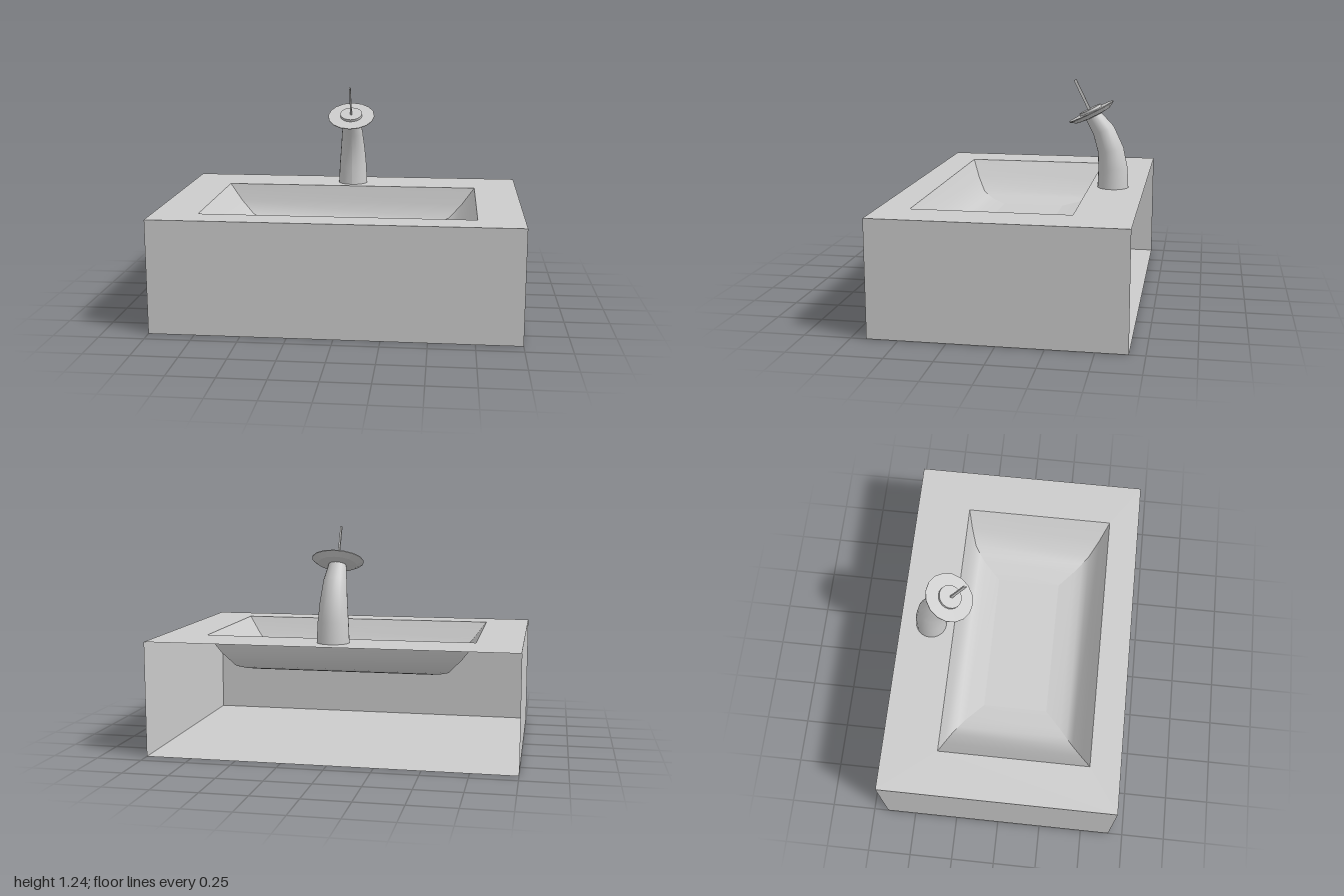
import * as THREE from 'three';

const H = 0.63, D = 0.667; // counter height and half depth
const mat = new THREE.MeshStandardMaterial({ color: 0xcccccc, side: THREE.DoubleSide });

function add(parent, name, geometry) {
  const m = new THREE.Mesh(geometry, mat);
  m.name = name;
  parent.add(m);
  return m;
}

// Skin rows of equally many points into a smooth surface
function loft(rows) {
  const n = rows[0].length, index = [];
  for (let i = 0; i < rows.length - 1; i++) {
    for (let j = 0; j < n - 1; j++) {
      const a = i * n + j, b = a + n;
      index.push(a, b, a + 1, b, b + 1, a + 1);
    }
  }
  const g = new THREE.BufferGeometry();
  g.setAttribute('position', new THREE.Float32BufferAttribute(rows.flat(2), 3));
  g.setIndex(index);
  g.computeVertexNormals();
  return g;
}

function rectangle(path, x, z0, z1) {
  path.moveTo(-x, -z1);
  path.lineTo(x, -z1);
  path.lineTo(x, -z0);
  path.lineTo(-x, -z0);
  path.closePath();
  return path;
}

// Box without a back, its top cut out for the basin
function makeCabinet() {
  const g = new THREE.Group();
  g.name = 'cabinet';
  const top = rectangle(new THREE.Shape(), 1, -D, D);
  top.holes.push(rectangle(new THREE.Path(), 0.75, -0.355, 0.495));
  add(g, 'countertop', new THREE.ShapeGeometry(top).rotateX(-Math.PI / 2).translate(0, H, 0));
  add(g, 'bottomPanel', new THREE.PlaneGeometry(2, 2 * D).rotateX(Math.PI / 2));
  add(g, 'frontPanel', new THREE.PlaneGeometry(2, H).translate(0, H / 2, D));
  for (const s of [-1, 1]) {
    add(g, s > 0 ? 'leftPanel' : 'rightPanel',
      new THREE.PlaneGeometry(2 * D, H).rotateY(s * Math.PI / 2).translate(s, H / 2, 0));
  }
  return g;
}

// Four curved walls, meeting in mitred corners, down to a flat floor
function makeBasin() {
  const g = new THREE.Group();
  g.name = 'basin';
  // half width, back z, front z, depth
  const levels = [
    [0.75, -0.355, 0.495, 0], [0.675, -0.333, 0.447, 0.1], [0.6, -0.305, 0.395, 0.178],
    [0.55, -0.273, 0.355, 0.194], [0.5, -0.235, 0.315, 0.204], [0.4, -0.14, 0.225, 0.213],
  ];
  const corners = levels.map(([x, b, f, d]) => {
    const y = H - d;
    return [[-x, y, b], [-x, y, f], [x, y, f], [x, y, b]];
  });
  ['rightWall', 'frontWall', 'leftWall', 'backWall'].forEach((name, k) => {
    add(g, name, loft(corners.map((c) => [c[k], c[(k + 1) % 4]])));
  });
  const c = corners[corners.length - 1];
  add(g, 'basinFloor', loft([[c[0], c[3]], [c[1], c[2]]]));
  return g;
}

function makeFaucet() {
  const g = new THREE.Group();
  g.name = 'faucet';

  // Bent, tapering neck: z, y, radius and forward tilt of each ring
  const rings = [
    [-0.4875, H, 0.088, 0], [-0.486, 0.74, 0.083, 0.06], [-0.472, 0.845, 0.074, 0.2],
    [-0.43, 0.955, 0.063, 0.4], [-0.365, 1.045, 0.046, 0.52],
  ];
  const sides = 20;
  const rows = rings.map(([z, y, r, tilt]) => Array.from({ length: sides + 1 }, (_, j) => {
    const t = (j / sides) * Math.PI * 2;
    const c = Math.cos(t) * r;
    return [Math.sin(t) * r, y - c * Math.sin(tilt), z + c * Math.cos(tilt)];
  }).reverse());
  add(g, 'neck', loft(rows));

  // Tilted dish with a hub and a lever
  const head = new THREE.Group();
  head.name = 'faucetHead';
  head.position.set(0, 1.062, -0.357);
  head.rotation.x = 0.464;
  const dish = [[0, -0.032], [0.06, -0.032], [0.105, -0.026], [0.14, -0.004], [0.14, 0], [0, 0]]
    .map(([x, y]) => new THREE.Vector2(x, y));
  const dishGeo = new THREE.LatheGeometry(dish, 16).toNonIndexed();
  dishGeo.computeVertexNormals();
  add(head, 'dish', dishGeo);
  add(head, 'hub', new THREE.CylinderGeometry(0.066, 0.066, 0.03, 20)).position.y = 0;
  add(head, 'lever', new THREE.BoxGeometry(0.009, 0.19, 0.016)).position.set(0, 0.104, 0.004);
  g.add(head);
  return g;
}

export function createModel() {
  const model = new THREE.Group();
  model.name = 'washbasin';
  model.add(makeCabinet(), makeBasin(), makeFaucet());
  return model;
}
